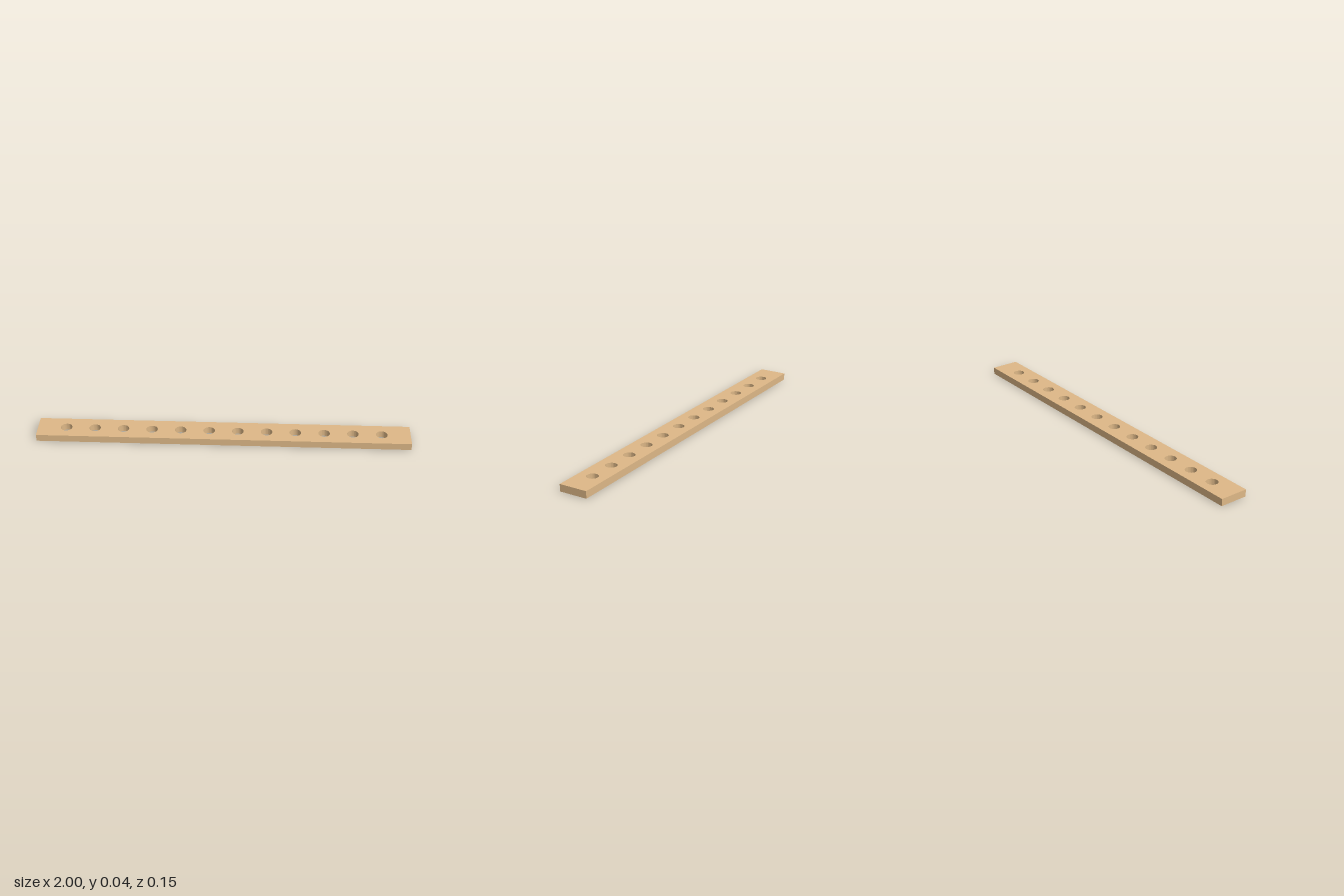
import * as THREE from 'three';
import { toCreasedNormals } from 'three/addons/utils/BufferGeometryUtils.js';

const HOLES = 12;
const PITCH = 2 / 13;       // hole spacing, also the strip width
const THICKNESS = PITCH / 4;
const HOLE_RADIUS = PITCH * 0.2;

export function createModel() {
  const group = new THREE.Group();
  group.name = 'perforatedStrip';

  // Strip outline
  const w = PITCH / 2;
  const outline = new THREE.Shape();
  outline.moveTo(-1, -w);
  outline.lineTo(1, -w);
  outline.lineTo(1, w);
  outline.lineTo(-1, w);
  outline.closePath();

  // Evenly spaced round through-holes
  for (let i = 0; i < HOLES; i++) {
    const x = (i - (HOLES - 1) / 2) * PITCH;
    const hole = new THREE.Path();
    hole.absarc(x, 0, HOLE_RADIUS, 0, Math.PI * 2, true);
    outline.holes.push(hole);
  }

  // Lay the extruded strip flat on the ground, with smooth hole walls
  let geometry = new THREE.ExtrudeGeometry(outline, {
    depth: THICKNESS, bevelEnabled: false, curveSegments: 16,
  });
  geometry.rotateX(-Math.PI / 2);
  geometry = toCreasedNormals(geometry, Math.PI / 6);

  const strip = new THREE.Mesh(geometry, new THREE.MeshStandardMaterial({ color: 0xdeb887 }));
  strip.name = 'strip';
  group.add(strip);
  return group;
}
